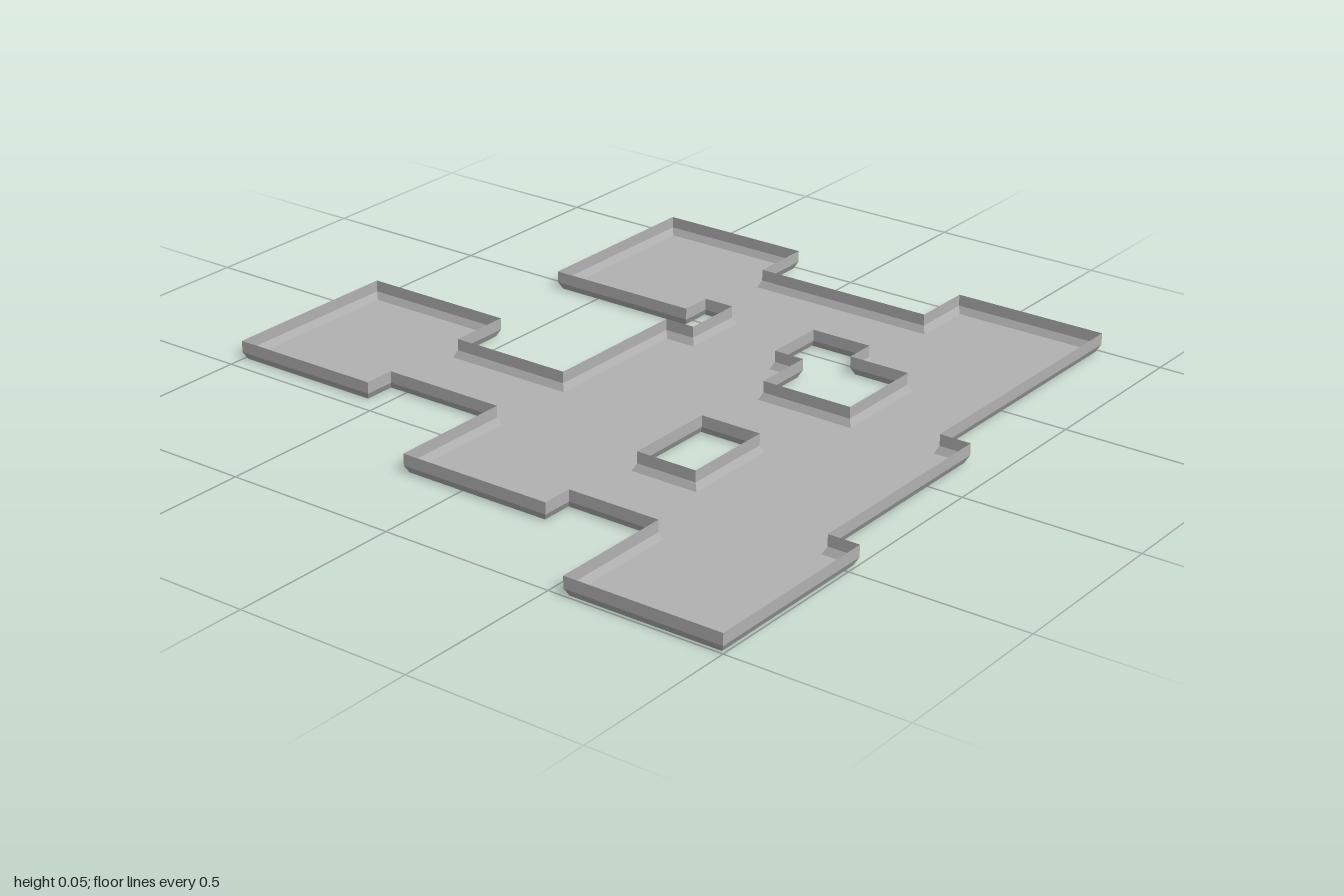
import * as THREE from 'three';

const UNIT = 1 / 11;      // one floor tile
const RIM = 0.053;        // wall height
const CHAMFER_Y = 0.02;   // where the sloped foot of the wall ends
const INSET = 0.01;       // how far the foot steps inward

// Outlines in tiles (x, z); the floor always lies to the right of the path.
const OUTLINE = [
  [-5, -11], [1, -11], [1, -6], [-1, -6], [-1, -2], [4, -2], [4, -1], [6, -1], [6, -2], [5, -2],
  [5, -7], [11, -7], [11, -2], [9, -2], [9, 4], [11, 4], [11, 9], [2, 9], [2, 10], [-5, 10],
  [-5, 11], [-11, 11], [-11, 6], [-7, 6], [-7, 3], [-8, 3], [-8, -2], [-4, -2], [-4, -6], [-5, -6],
];
const SMALL_OPENING = [[-4, 3], [-4, 5], [-1, 5], [-1, 3]];
const LARGE_OPENING = [[2, 3], [2, 6], [5, 6], [5, 4], [6, 4], [6, 2], [4, 2], [4, 3]];

// Scales a right-angled loop and moves every edge toward the floor side.
function offsetLoop(loop, distance) {
  const n = loop.length;
  const inward = (a, b) => [-Math.sign(b[1] - a[1]), Math.sign(b[0] - a[0])];
  return loop.map((p, i) => {
    const n1 = inward(loop[(i + n - 1) % n], p);
    const n2 = inward(p, loop[(i + 1) % n]);
    return [p[0] * UNIT + (n1[0] + n2[0]) * distance, p[1] * UNIT + (n1[1] + n2[1]) * distance];
  });
}

// Upright sheet with a sloped foot following a loop.
function wallGeometry(loop) {
  const rings = [[INSET, 0], [0, CHAMFER_Y], [0, RIM]].map(([inset, y]) =>
    offsetLoop(loop, inset).map(([x, z]) => [x, y, z]));
  const positions = [];
  for (let r = 0; r < rings.length - 1; r++) {
    for (let i = 0; i < loop.length; i++) {
      const j = (i + 1) % loop.length;
      const a = rings[r][i], b = rings[r][j], c = rings[r + 1][i], d = rings[r + 1][j];
      positions.push(...a, ...c, ...b, ...b, ...c, ...d);
    }
  }
  const geometry = new THREE.BufferGeometry();
  geometry.setAttribute('position', new THREE.Float32BufferAttribute(positions, 3));
  geometry.computeVertexNormals();
  return geometry;
}

export function createModel() {
  const group = new THREE.Group();
  group.name = 'floorPlan';
  const grey = new THREE.MeshStandardMaterial({ color: 0xb2b2b2, side: THREE.DoubleSide });
  grey.name = 'grey';

  const add = (name, geometry) => {
    const mesh = new THREE.Mesh(geometry, grey);
    mesh.name = name;
    group.add(mesh);
  };

  // Floor sheet with two openings
  const toPoints = (loop) => offsetLoop(loop, INSET).map(([x, z]) => new THREE.Vector2(x, -z));
  const floor = new THREE.Shape(toPoints(OUTLINE));
  floor.holes = [SMALL_OPENING, LARGE_OPENING].map((loop) => new THREE.Path(toPoints(loop)));
  add('floor', new THREE.ShapeGeometry(floor).rotateX(-Math.PI / 2));

  // Low walls around the rooms and the openings
  add('outerWall', wallGeometry(OUTLINE));
  add('smallOpeningWall', wallGeometry(SMALL_OPENING));
  add('largeOpeningWall', wallGeometry(LARGE_OPENING));

  return group;
}
